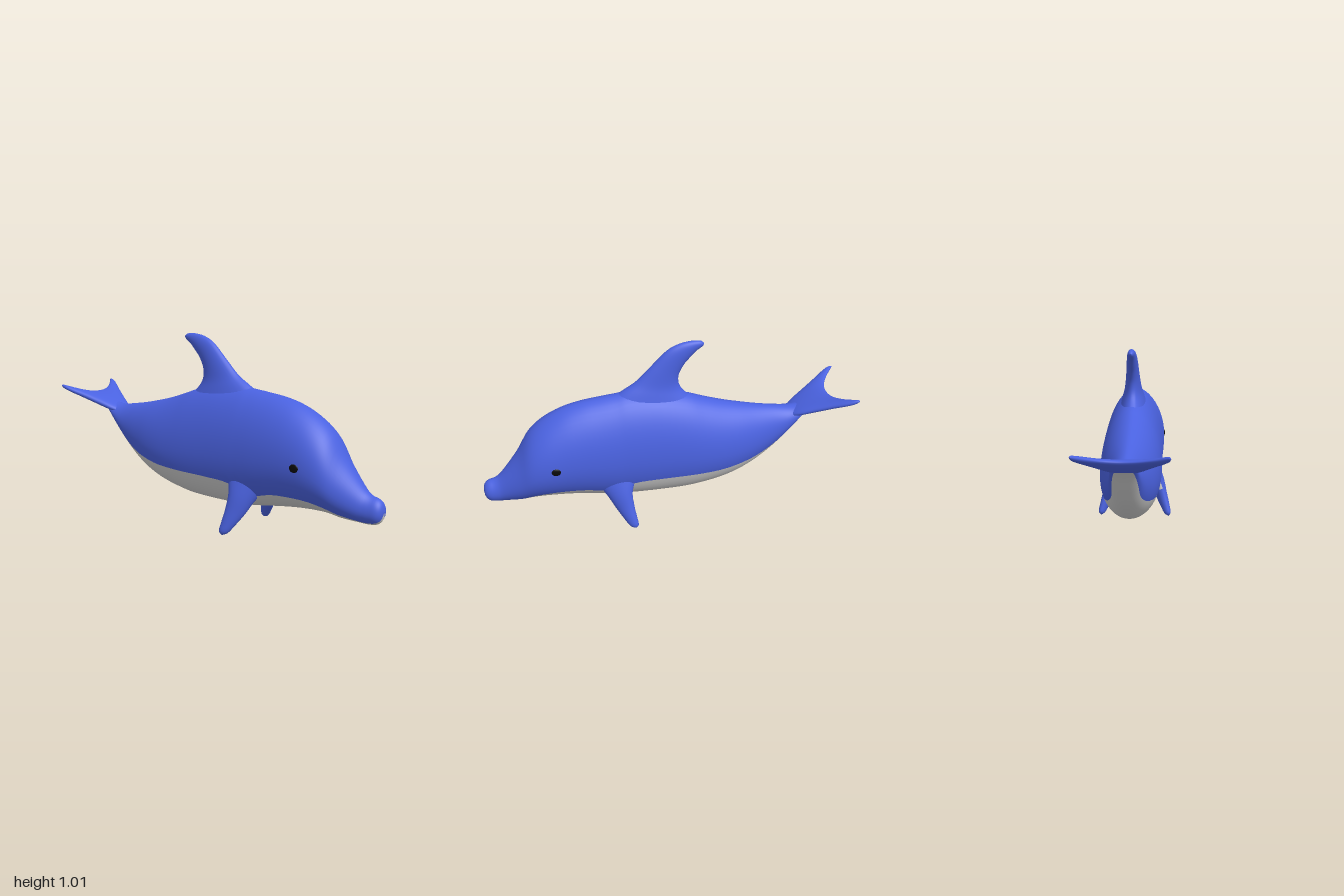
import * as THREE from 'three';

const blue = new THREE.MeshStandardMaterial({ color: 0x4a62e0 });
const grey = new THREE.MeshStandardMaterial({ color: 0xcccccc });
const black = new THREE.MeshStandardMaterial({ color: 0x0a0a0a });

// Catmull-Rom refinement of rows of numbers, n steps per span
function refine(rows, n) {
  const out = [];
  const at = (i) => rows[Math.max(0, Math.min(rows.length - 1, i))];
  for (let i = 0; i < rows.length - 1; i++) {
    for (let k = 0; k < n; k++) {
      const t = k / n;
      out.push(rows[i].map((_, c) => {
        const [a, b, d, e] = [at(i - 1)[c], at(i)[c], at(i + 1)[c], at(i + 2)[c]];
        return b + 0.5 * t * (d - a + t * (2 * a - 5 * b + 4 * d - e + t * (3 * (b - d) + e - a)));
      }));
    }
  }
  out.push(rows[rows.length - 1]);
  return out;
}

// Skin closed rings; isGrey(row, column) chooses the pale faces
function skin(name, rings, isGrey) {
  const n = rings[0].length;
  const faces = [[], []];
  for (let i = 0; i < rings.length - 1; i++) {
    for (let j = 0; j < n; j++) {
      const k = (j + 1) % n;
      const a = i * n + j, b = i * n + k, c = a + n, d = b + n;
      faces[isGrey(i, j) ? 1 : 0].push(a, c, b, b, c, d);
    }
  }
  const whole = new THREE.BufferGeometry();
  whole.setAttribute('position', new THREE.Float32BufferAttribute(rings.flat(2), 3));
  whole.setIndex(faces.flat());
  whole.computeVertexNormals();
  const group = new THREE.Group();
  group.name = name;
  [[blue, 'Upper'], [grey, 'Belly']].forEach(([material, suffix], f) => {
    if (!faces[f].length) return;
    const part = whole.clone();
    part.setIndex(faces[f]);
    const mesh = new THREE.Mesh(part, material);
    mesh.name = name + suffix;
    group.add(mesh);
  });
  return group;
}

// Body: stations of z, top, bottom, half width, height of the colour line
function makeBody() {
  const stations = [
    [1.0, 0.235, 0.235, 0, 0.235], [0.992, 0.27, 0.195, 0.032, 0.2], [0.97, 0.292, 0.17, 0.05, 0.182],
    [0.93, 0.305, 0.163, 0.058, 0.176], [0.89, 0.34, 0.164, 0.07, 0.178], [0.8, 0.455, 0.17, 0.115, 0.2],
    [0.73, 0.57, 0.182, 0.148, 0.228], [0.65, 0.642, 0.183, 0.163, 0.248], [0.55, 0.695, 0.176, 0.166, 0.252],
    [0.45, 0.723, 0.163, 0.166, 0.246], [0.35, 0.738, 0.147, 0.165, 0.22], [0.27, 0.748, 0.136, 0.163, 0.21],
    [0.2, 0.755, 0.131, 0.162, 0.268], [0.05, 0.75, 0.129, 0.161, 0.28], [-0.1, 0.72, 0.135, 0.161, 0.284],
    [-0.2, 0.686, 0.15, 0.158, 0.288], [-0.3, 0.654, 0.174, 0.15, 0.295], [-0.4, 0.629, 0.21, 0.134, 0.312],
    [-0.5, 0.608, 0.265, 0.11, 0.338], [-0.6, 0.592, 0.345, 0.086, 0.39], [-0.68, 0.583, 0.435, 0.073, 0.465],
    [-0.75, 0.594, 0.525, 0.062, 0.537], [-0.81, 0.622, 0.582, 0.045, 0.586], [-0.86, 0.625, 0.615, 0, 0.616],
  ];
  const back = 36, belly = 16;
  const rings = refine(stations, 4).map(([z, top, bottom, w, line]) => {
    const mid = bottom + 0.45 * (top - bottom);
    const drop = THREE.MathUtils.clamp((mid - line) / Math.max(mid - bottom, 1e-5), 0, 0.98);
    const t0 = Math.asin(drop);
    const ring = [];
    for (let j = 0; j < back + belly; j++) {
      const t = j < back ? -t0 + (Math.PI + 2 * t0) * j / back
        : Math.PI + t0 + (Math.PI - 2 * t0) * (j - back) / belly;
      const s = Math.sin(t), c = Math.cos(t);
      const x = w * Math.sign(c) * Math.pow(Math.abs(c), s > 0 ? 1.15 : 1);
      ring.push([x, mid + s * (s > 0 ? top - mid : mid - bottom), z]);
    }
    return ring;
  });
  return skin('body', rings, (i, j) => j >= back);
}

// Fin: rows of leading point, trailing point, half thickness
function makeFin(name, rows, isGrey = () => false) {
  const fine = refine(rows, 5), sides = 28;
  const lead = fine.map((r) => new THREE.Vector3(r[0], r[1], r[2]));
  const trail = fine.map((r) => new THREE.Vector3(r[3], r[4], r[5]));
  const mid = lead.map((p, i) => p.clone().add(trail[i]).multiplyScalar(0.5));
  const rings = fine.map((r, i) => {
    const half = lead[i].clone().sub(trail[i]).multiplyScalar(0.5);
    const along = mid[Math.min(i + 1, mid.length - 1)].clone().sub(mid[Math.max(i - 1, 0)]);
    const across = half.clone().cross(along).normalize().multiplyScalar(r[6]);
    return Array.from({ length: sides }, (_, j) => {
      const t = 2 * Math.PI * j / sides;
      return mid[i].clone().addScaledVector(half, Math.cos(t)).addScaledVector(across, Math.sin(t)).toArray();
    });
  });
  return skin(name, rings, (i, j) => isGrey(i, j < sides / 2));
}

export function createModel() {
  const model = new THREE.Group();
  model.name = 'dolphin';
  model.add(makeBody());

  // Swept-back dorsal fin
  model.add(makeFin('dorsalFin', [
    [0.36, 0.67, -0.22, 0.62, 0.085], [0.24, 0.757, -0.12, 0.71, 0.06], [0.16, 0.81, -0.072, 0.77, 0.045],
    [0.08, 0.89, -0.066, 0.83, 0.036], [0.0, 0.97, -0.09, 0.885, 0.03], [-0.06, 1.003, -0.122, 0.925, 0.026],
    [-0.12, 1.016, -0.155, 0.96, 0.021], [-0.175, 1.015, -0.188, 0.985, 0.014], [-0.197, 1.0, -0.197, 1.0, 0],
  ].map(([az, ay, bz, by, w]) => [0, ay, az, 0, by, bz, w])));

  // Tail flukes, one span from tip to tip on a rising plane
  const fluke = [
    [0.204, -0.992, -0.992, 0], [0.198, -0.96, -1.0, 0.009], [0.18, -0.922, -0.985, 0.013],
    [0.15, -0.87, -0.958, 0.016], [0.11, -0.79, -0.93, 0.019], [0.075, -0.72, -0.912, 0.022],
    [0.04, -0.68, -0.902, 0.024],
  ];
  const span = [
    ...fluke.map(([x, ...r]) => [-x, ...r]), [0, -0.67, -0.898, 0.025], ...fluke.slice().reverse(),
  ];
  const rise = (z) => 0.55 + (-0.7 - z) * 0.46;
  model.add(makeFin('tailFlukes', span.map(([x, a, b, w]) => [x, rise(a), a, x, rise(b), b, w])));

  for (const side of [1, -1]) {
    const label = side > 0 ? 'left' : 'right';
    // Flipper, pale on the inner root
    model.add(makeFin(label + 'Flipper', [
      [0.07, 0.28, 0.42, 0.1, 0.32, 0.17, 0.05], [0.105, 0.195, 0.35, 0.145, 0.225, 0.21, 0.04],
      [0.133, 0.12, 0.305, 0.172, 0.135, 0.207, 0.032], [0.163, 0.06, 0.265, 0.19, 0.07, 0.196, 0.025],
      [0.184, 0.02, 0.235, 0.2, 0.028, 0.19, 0.018], [0.197, 0.006, 0.205, 0.197, 0.006, 0.205, 0],
    ].map(([ax, ay, az, bx, by, bz, w]) => [side * ax, ay, az, side * bx, by, bz, w]),
    (i, positiveX) => i < 8 && positiveX === (side < 0)));

    // Eye, a flat oval bead
    const eye = new THREE.Mesh(new THREE.SphereGeometry(1, 20, 12), black);
    eye.name = label + 'Eye';
    eye.scale.set(0.007, 0.021, 0.025);
    eye.position.set(side * 0.163, 0.412, 0.605);
    model.add(eye);
  }
  return model;
}
